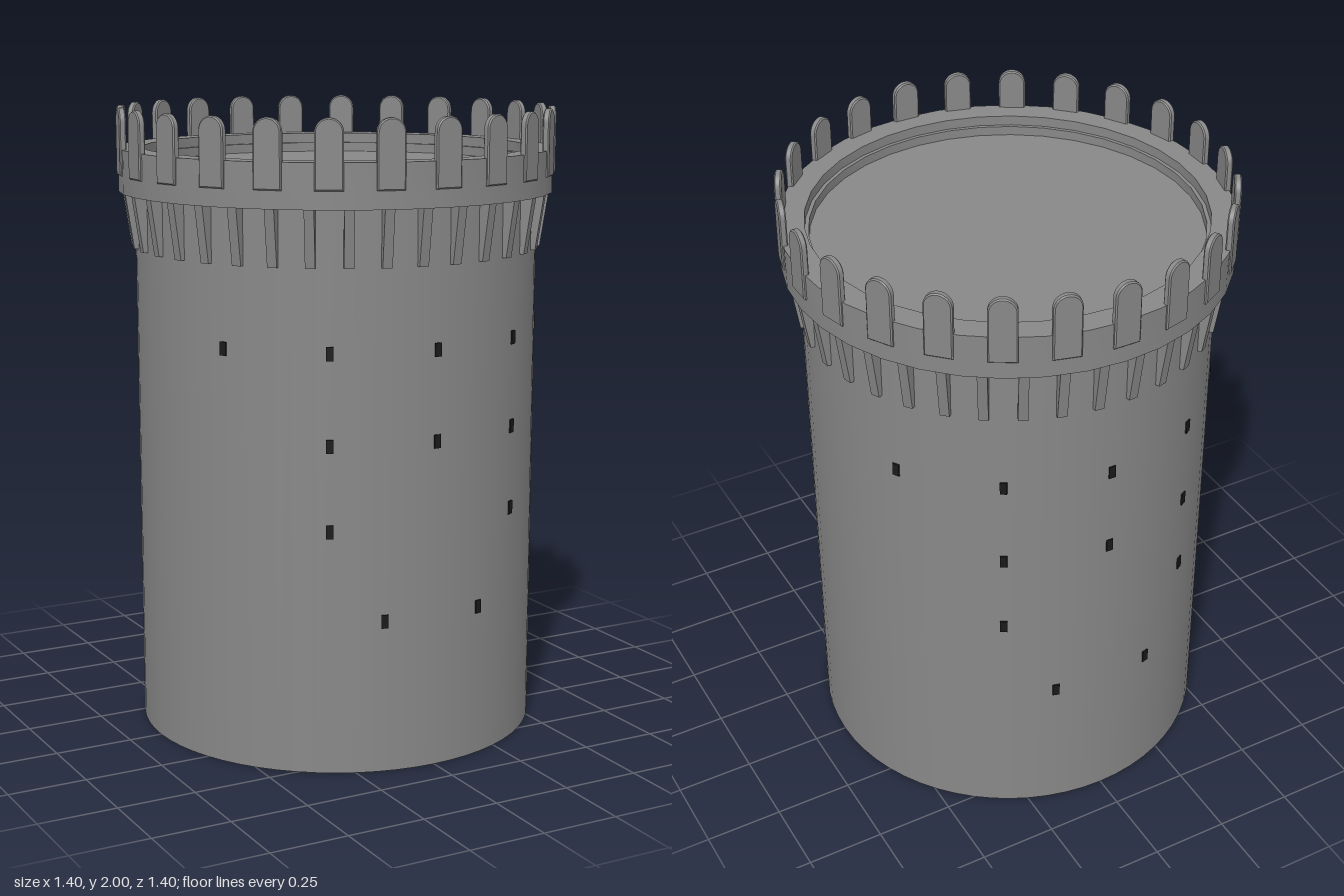
import * as THREE from 'three';
import { toCreasedNormals } from 'three/addons/utils/BufferGeometryUtils.js';

const stone = new THREE.MeshStandardMaterial({ color: 0x888888 });
const dark = new THREE.MeshStandardMaterial({ color: 0x1a1a1a });
const DEG = Math.PI / 180;

export function createModel() {
  const model = new THREE.Group();

  const add = (name, geometry, material = stone, parent = model) => {
    const mesh = new THREE.Mesh(geometry, material);
    mesh.name = name;
    parent.add(mesh);
    return mesh;
  };
  // Geometry faces +z; turn it to an angle (degrees from the front) at a radius.
  const place = (mesh, angle, radius, y = 0) => {
    const a = angle * DEG;
    mesh.position.set(Math.sin(a) * radius, y, Math.cos(a) * radius);
    mesh.rotation.y = a;
  };
  const group = (name) => {
    const g = new THREE.Group();
    g.name = name;
    model.add(g);
    return g;
  };

  // Main round wall
  const wall = new THREE.CylinderGeometry(0.642, 0.642, 1.76, 64);
  wall.translate(0, 0.88, 0);
  add('towerWall', wall);

  // Overhanging parapet with an inner ledge and the roof floor
  const profile = [
    [0.6, 1.735], [0.694, 1.735], [0.694, 1.872], [0.616, 1.872],
    [0.616, 1.84], [0.604, 1.84], [0.604, 1.81], [0, 1.81],
  ].map(([r, y]) => new THREE.Vector2(r, y));
  add('parapetAndRoof', toCreasedNormals(new THREE.LatheGeometry(profile, 36), 0.6));

  // Round-topped merlons with slightly bevelled edges
  const w = 0.043;
  const outline = new THREE.Shape();
  outline.moveTo(-w, 1.79);
  outline.lineTo(w, 1.79);
  outline.lineTo(w, 2 - w);
  outline.absarc(0, 2 - w, w, 0, Math.PI, false);
  outline.lineTo(-w, 1.79);
  const bevel = 0.004;
  const merlonGeometry = toCreasedNormals(new THREE.ExtrudeGeometry(outline, {
    depth: 0.014, bevelThickness: bevel, bevelSize: bevel, bevelOffset: -bevel, bevelSegments: 1, curveSegments: 8,
  }), 0.6);
  const merlons = group('merlons');
  for (let i = 0; i < 24; i++) place(add('merlon', merlonGeometry, stone, merlons), i * 15, 0.681);

  // Tapered corbels under the parapet
  const side = new THREE.Shape([
    [0.62, 1.56], [0.655, 1.56], [0.682, 1.74], [0.62, 1.74],
  ].map(([r, y]) => new THREE.Vector2(r, y)));
  const corbelGeometry = new THREE.ExtrudeGeometry(side, { depth: 0.03, bevelEnabled: false });
  corbelGeometry.translate(0, 0, -0.015);
  corbelGeometry.rotateY(-Math.PI / 2);
  const corbels = group('corbels');
  for (let i = 0; i < 36; i++) place(add('corbel', corbelGeometry, stone, corbels), 5 + i * 10, 0);

  // Window slits, the same on the front and the back
  const rows = [
    [1.307, [-60, -30, 0, 30, 60]],
    [1.027, [-30, 0, 30]],
    [0.765, [-30, 30]],
    [0.48, [-15, 15]],
  ];
  const slitGeometry = new THREE.BoxGeometry(0.022, 0.042, 0.03);
  const windows = group('windows');
  for (const [y, angles] of rows)
    for (const angle of angles)
      for (const turn of [0, 180]) place(add('window', slitGeometry, dark, windows), angle + turn, 0.631, y);

  return model;
}
